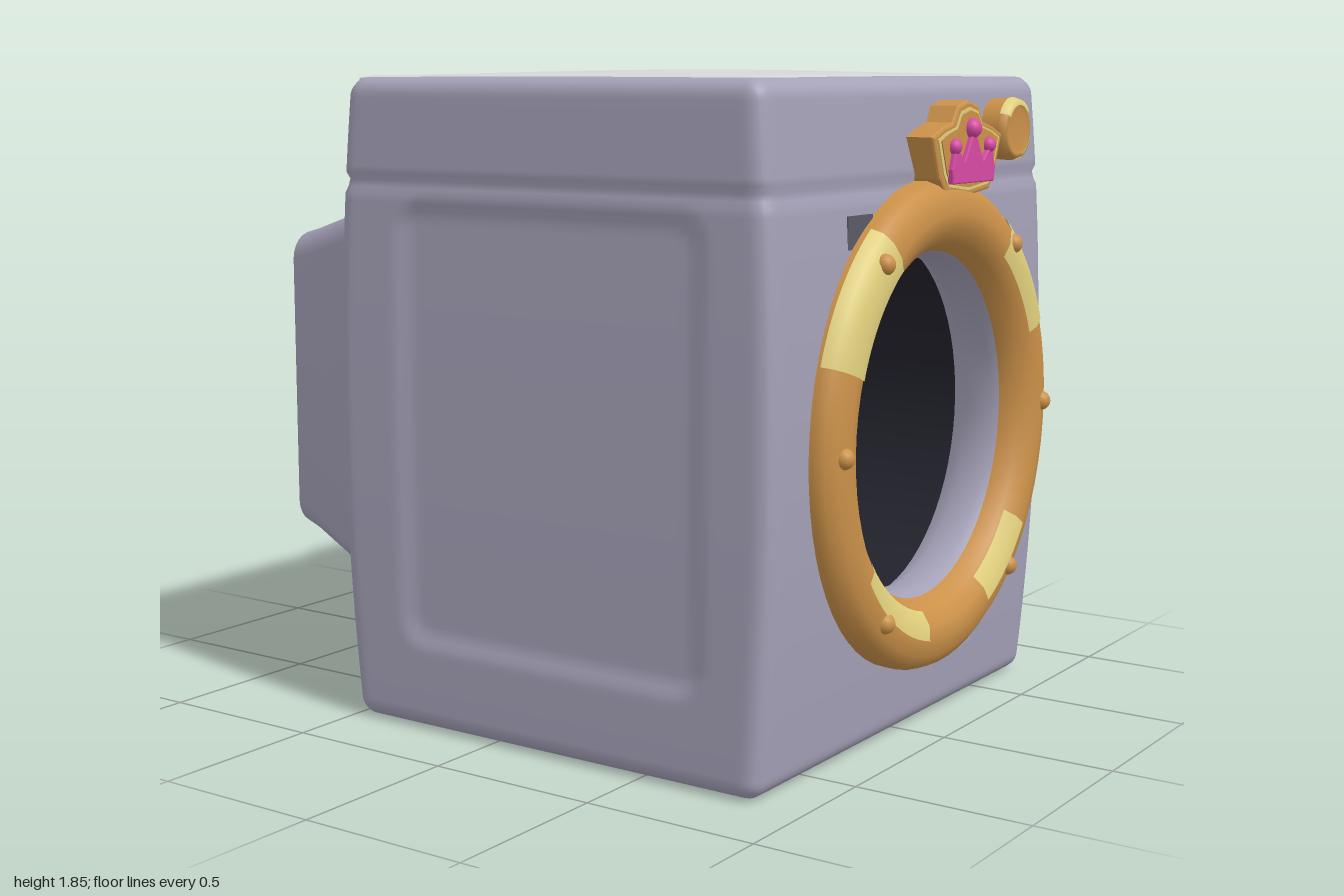
import * as THREE from 'three';
import { mergeVertices, toCreasedNormals } from 'three/addons/utils/BufferGeometryUtils.js';
import { RoundedBoxGeometry } from 'three/addons/geometries/RoundedBoxGeometry.js';

const material = (name, color, side = THREE.FrontSide) => {
  const m = new THREE.MeshStandardMaterial({ color, side });
  m.name = name;
  return m;
};
const lavender = material('lavender', 0xa5a1b8, THREE.DoubleSide);
const white = material('lightGrey', 0xd6d6d8);
const gold = material('gold', 0xcb9149);
const yellow = material('paleYellow', 0xe0cf7c, THREE.DoubleSide);
const pink = material('pink', 0xd84aa4);
const dark = material('drumDark', 0x22222c, THREE.DoubleSide);
const grey = material('darkGrey', 0x5a5a66);

const RING = { x: 0.05, y: 0.875, stretch: 1.04 };
const DEG = Math.PI / 180;

// Box with rounded edges and gently bulging faces; bulge = [x, y, z]
function bulgedBox(half, r, bulge, segs) {
  let g = new THREE.BoxGeometry(2, 2, 2, ...segs);
  g.deleteAttribute('normal');
  g.deleteAttribute('uv');
  g = mergeVertices(g);
  const p = g.attributes.position;
  for (let i = 0; i < p.count; i++) {
    const u = [p.getX(i), p.getY(i), p.getZ(i)].map(t => (t + Math.sin(t * Math.PI / 2)) / 2);
    const full = u.map((t, k) => t * half[k]);
    const inner = full.map((t, k) => THREE.MathUtils.clamp(t, r - half[k], half[k] - r));
    const d = new THREE.Vector3(...full.map((t, k) => t - inner[k]));
    if (d.length() > 0) d.setLength(r * Math.min(1, Math.max(...d.toArray().map(Math.abs)) / r));
    const q = d.toArray().map((t, k) => t + inner[k]);
    q[0] += bulge[0] * u[0] * (1 - u[1] ** 2);
    q[1] += bulge[1] * Math.max(0, u[1]) * (1 - u[0] ** 2) * (1 - u[2] ** 2);
    q[2] += bulge[2] * u[2] * (1 - u[1] ** 2);
    p.setXYZ(i, ...q);
  }
  return g;
}

// Cabinet: seam below the lid, pressed side panels, and a front opening
function cabinetGeometry() {
  const g = bulgedBox([0.78, 0.915, 0.68], 0.05, [0.012, 0.015, 0.045], [44, 92, 60]);
  g.translate(0, 0.92, 0.185);
  const p = g.attributes.position;
  for (let i = 0; i < p.count; i++) {
    const x = p.getX(i), y = p.getY(i), z = p.getZ(i);
    const pinch = 0.014 * Math.max(0, 1 - Math.abs(y - 1.545) / 0.02);
    let nx = x - Math.sign(x) * (Math.abs(x) > 0.7 ? pinch : 0);
    let nz = z;
    if (z > 0.8) nz -= pinch;
    if (z < -0.45) nz += pinch;
    if (Math.abs(x) > 0.76) {
      const qx = Math.abs(z - 0.2) - 0.42, qy = Math.abs(y - 0.875) - 0.54;
      const sd = Math.hypot(Math.max(qx, 0), Math.max(qy, 0)) + Math.min(Math.max(qx, qy), 0) - 0.1;
      nx -= Math.sign(x) * 0.016 * THREE.MathUtils.smoothstep(-sd, 0, 0.06);
    }
    p.setXYZ(i, nx, y, nz);
  }
  const keep = [], idx = g.index.array;
  for (let i = 0; i < idx.length; i += 3) {
    const c = [0, 0, 0];
    for (let k = 0; k < 3; k++) {
      c[0] += p.getX(idx[i + k]) / 3;
      c[1] += p.getY(idx[i + k]) / 3;
      c[2] += p.getZ(idx[i + k]) / 3;
    }
    const inHole = c[2] > 0.8 && Math.hypot(c[0] - RING.x, (c[1] - RING.y) / RING.stretch) < 0.56;
    if (!inHole) keep.push(idx[i], idx[i + 1], idx[i + 2]);
  }
  g.setIndex(keep);
  g.computeVertexNormals();
  return g;
}

// Loft of rounded rectangles towards -z; section = [z, halfWidth, halfHeight, radius, centreY]
function loft(sections) {
  const pos = [], index = [], n = 28;
  for (const [z, w, h, r, cy] of sections) {
    for (let c = 0; c < 4; c++) for (let k = 0; k < 7; k++) {
      const a = (c + k / 6) * Math.PI / 2;
      const sx = c === 0 || c === 3 ? 1 : -1, sy = c < 2 ? 1 : -1;
      pos.push(sx * (w - r) + r * Math.cos(a), cy + sy * (h - r) + r * Math.sin(a), z);
    }
  }
  const last = sections.length - 1, centre = pos.length / 3;
  pos.push(0, sections[last][4], sections[last][0]);
  for (let s = 0; s <= last; s++) for (let i = 0; i < n; i++) {
    const a = s * n + i, b = s * n + (i + 1) % n;
    if (s < last) index.push(a, a + n, b, b, a + n, b + n);
    else index.push(a, centre, b);
  }
  const g = new THREE.BufferGeometry();
  g.setAttribute('position', new THREE.Float32BufferAttribute(pos, 3));
  g.setIndex(index);
  return toCreasedNormals(g, 0.5);
}

// Lathe about z; angles run counter-clockwise from +x, in degrees
function turned(points, from = 0, to = 360, segs = 64) {
  const g = new THREE.LatheGeometry(points.map(q => new THREE.Vector2(...q)), segs, (from + 90) * DEG, (to - from) * DEG);
  return g.rotateX(Math.PI / 2);
}

function extruded(points, depth, bevel = 0) {
  const shape = new THREE.Shape(points.map(q => new THREE.Vector2(...q)));
  return new THREE.ExtrudeGeometry(shape, { depth, bevelEnabled: bevel > 0, bevelSize: bevel, bevelThickness: bevel, bevelSegments: 2 });
}

export function createModel() {
  const model = new THREE.Group();
  const add = (name, geometry, mat, x = 0, y = 0, z = 0, parent = model) => {
    const m = new THREE.Mesh(geometry, mat);
    m.name = name;
    m.position.set(x, y, z);
    parent.add(m);
    return m;
  };

  add('cabinet', cabinetGeometry(), lavender);
  const top = bulgedBox([0.745, 0.02, 0.655], 0.015, [0, 0.016, 0], [24, 4, 24]);
  top.computeVertexNormals();
  add('topPanel', top, white, 0, 1.819, 0.175);

  // Door ring, its painted highlights, liner and drum
  const door = new THREE.Group();
  door.name = 'door';
  door.position.set(RING.x, RING.y, 0);
  door.scale.y = RING.stretch;
  model.add(door);
  const addDoor = (name, g, mat) => add(name, g, mat, 0, 0, 0, door);
  addDoor('doorRing', turned([[0.655, 0.84], [0.657, 0.92], [0.645, 0.95], [0.615, 0.972], [0.57, 0.982], [0.53, 0.975], [0.49, 0.945], [0.468, 0.9], [0.465, 0.84]]), gold);
  const wide = [[0.661, 0.92], [0.648, 0.954], [0.617, 0.976], [0.57, 0.986], [0.53, 0.979]];
  const narrow = [[0.57, 0.986], [0.53, 0.979], [0.495, 0.952]];
  for (const [profile, a, b] of [[wide, 124, 160], [wide, 23, 55], [narrow, 216, 258], [narrow, 295, 324]])
    addDoor('ringHighlight', turned(profile, a, b, 16), yellow);
  addDoor('doorLiner', turned([[0.47, 0.9], [0.455, 0.87], [0.452, 0.8], [0.49, 0.74]]), lavender);
  addDoor('drumWall', turned([[0.49, -0.35], [0.49, 0.76]]), dark);
  addDoor('drumBand', turned([[0.478, 0.2], [0.478, 0.12]]), gold);
  add('drumBack', new THREE.CircleGeometry(0.49, 64), dark, 0, 0, -0.35, door);

  const rivets = [[-0.335, 1.355], [0.425, 1.36], [-0.535, 0.875], [0.645, 0.875], [-0.305, 0.395], [0.44, 0.41]];
  for (const [x, y] of rivets) add('rivet', new THREE.SphereGeometry(0.029, 16, 12), gold, x, y, 0.971);

  // Crown ornament, drawn about its own centre
  const crown = new THREE.Group();
  crown.name = 'crown';
  crown.position.set(0.15, 1.635, 0);
  model.add(crown);
  const mirrored = half => [...half, ...half.filter(q => q[0] > 0).reverse().map(([x, y]) => [-x, y])];
  const outline = mirrored([[0, -0.12], [0.13, -0.105], [0.16, -0.07], [0.2, 0.035], [0.15, 0.055], [0.085, 0.07], [0.055, 0.115], [0, 0.128]]);
  const scaled = s => outline.map(([x, y]) => [x * s, y * s]);
  add('crownBase', extruded(outline, 0.085, 0.008), gold, 0, 0, 0.868, crown);
  add('crownTrim', extruded(scaled(0.92), 0.004), yellow, 0, 0, 0.96, crown);
  add('crownField', extruded(scaled(0.85), 0.004), gold, 0, 0, 0.963, crown);
  const points = mirrored([[0, -0.085], [0.12, -0.085], [0.125, -0.05], [0.105, 0.01], [0.055, -0.035], [0, 0.055]]);
  add('crownPoints', extruded(points, 0.012, 0.004), pink, 0, 0, 0.965, crown);
  for (const [x, y, r] of [[-0.103, 0.012, 0.022], [0, 0.06, 0.028], [0.103, 0.012, 0.022]])
    add('crownBead', new THREE.SphereGeometry(r, 16, 12), pink, x, y, 0.97, crown);

  // Control knob
  add('knob', turned([[0.085, 0.84], [0.09, 0.93], [0.082, 0.95], [0.07, 0.953], [0.063, 0.944], [0.001, 0.946]], 0, 360, 32), gold, 0.485, 1.685, 0);
  for (const [a, b] of [[40, 150], [285, 340]])
    add('knobHighlight', turned([[0.092, 0.93], [0.084, 0.953], [0.069, 0.956]], a, b, 12), yellow, 0.485, 1.685, 0);

  // Small plates partly behind the ring
  add('frontPlateDark', new THREE.BoxGeometry(0.13, 0.09, 0.008), grey, -0.335, 1.435, 0.894);
  add('frontPlateLow', new THREE.BoxGeometry(0.38, 0.08, 0.008), lavender, 0.19, 0.22, 0.884);
  add('frontPlateSide', new THREE.BoxGeometry(0.07, 0.07, 0.008), lavender, 0.53, 0.42, 0.895);

  // Rear housing with flange, recessed back face and raised cover
  add('rearHousing', loft([
    [-0.48, 0.7, 0.6, 0.07, 0.9], [-0.56, 0.7, 0.6, 0.07, 0.9], [-0.575, 0.685, 0.585, 0.07, 0.9],
    [-0.575, 0.655, 0.56, 0.07, 0.91], [-0.62, 0.645, 0.535, 0.08, 0.915], [-0.86, 0.575, 0.465, 0.08, 0.92],
    [-0.925, 0.56, 0.45, 0.08, 0.92], [-0.945, 0.535, 0.425, 0.07, 0.92], [-0.945, 0.48, 0.375, 0.06, 0.92],
    [-0.925, 0.465, 0.36, 0.05, 0.92], [-0.925, 0.37, 0.3, 0.05, 0.92], [-0.96, 0.36, 0.29, 0.05, 0.92],
    [-0.965, 0.32, 0.26, 0.04, 0.92], [-0.99, 0.315, 0.255, 0.04, 0.92], [-1, 0.3, 0.24, 0.035, 0.92],
  ]), lavender);
  for (const x of [-0.085, 0.055])
    add('rearStud', new THREE.SphereGeometry(0.034, 16, 12), lavender, x, 1.438, -0.685);
  const label = add('rearPlate', new RoundedBoxGeometry(0.16, 0.03, 0.06, 2, 0.01), lavender, -0.46, 1.428, -0.67);
  const tab = add('rearTab', new RoundedBoxGeometry(0.08, 0.03, 0.03, 2, 0.008), lavender, -0.005, 1.455, -0.6);
  label.rotation.x = tab.rotation.x = -0.28;
  add('lowerTab', new RoundedBoxGeometry(0.08, 0.03, 0.04, 2, 0.008), lavender, 0, 0.37, -0.59);

  // Shelf and arched handle on the back wall
  const shelf = add('rearShelf', extruded([[-0.115, 0], [0.115, 0], [0.105, 0.2], [0.075, 0.23], [-0.075, 0.23], [-0.105, 0.2]], 0.03, 0.005), lavender, 0.455, 1.605, -0.52);
  shelf.rotation.x = -Math.PI / 2 - 0.1;
  add('shelfBracket', new RoundedBoxGeometry(0.2, 0.08, 0.06, 2, 0.01), lavender, 0.455, 1.61, -0.52);
  const arch = new THREE.CatmullRomCurve3([[-0.12, 0], [-0.09, 0.03], [0, 0.045], [0.09, 0.03], [0.12, 0]].map(([x, y]) => new THREE.Vector3(x, y, 0)));
  add('rearHandle', new THREE.TubeGeometry(arch, 20, 0.014, 8), lavender, -0.04, 1.595, -0.548);
  for (const x of [-0.16, 0.08])
    add('handleFoot', new RoundedBoxGeometry(0.04, 0.03, 0.06, 2, 0.008), lavender, x, 1.595, -0.535);

  return model;
}
